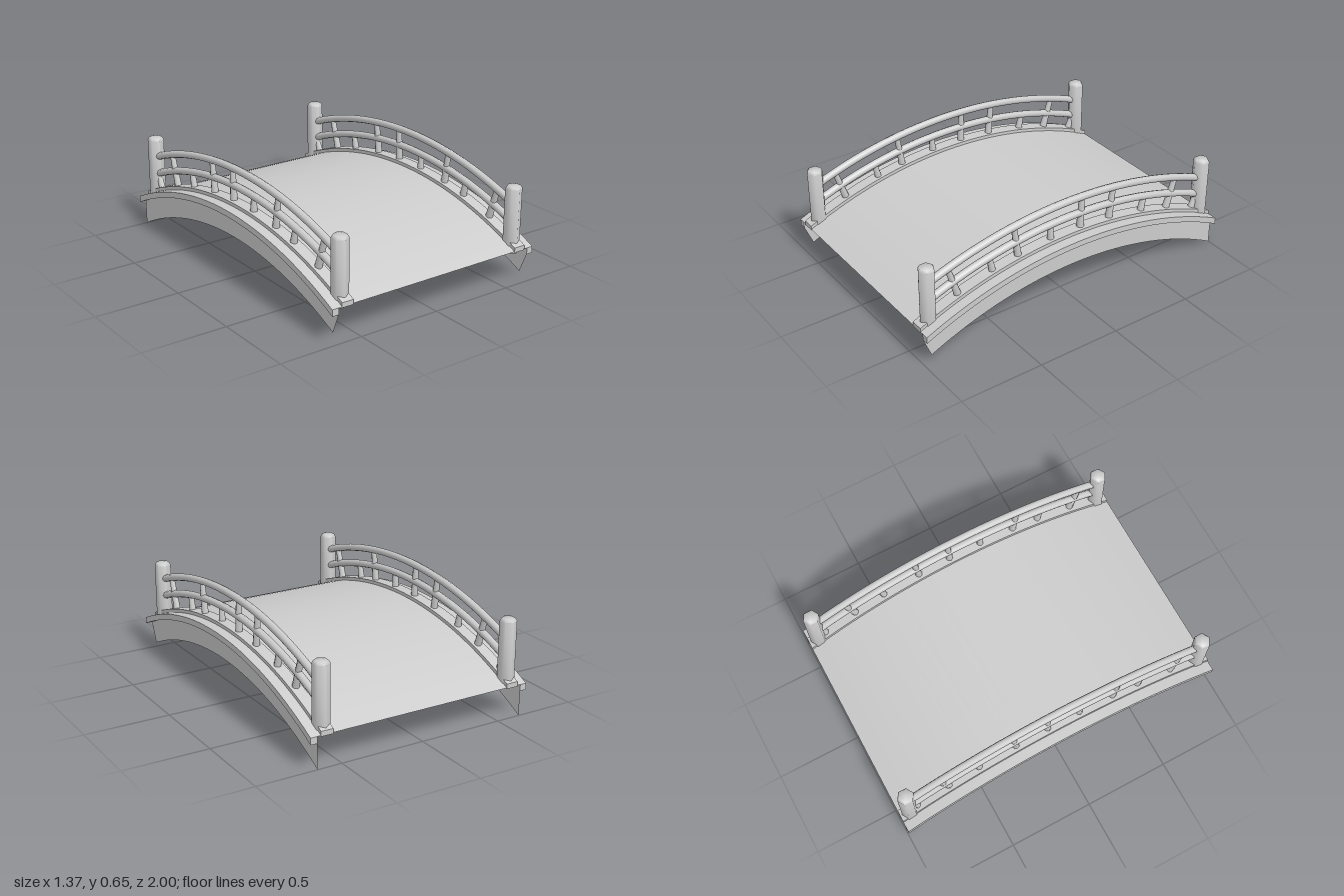
import * as THREE from 'three';
import { toCreasedNormals } from 'three/addons/utils/BufferGeometryUtils.js';

// All curves are concentric arcs around one centre in the z-y plane.
const CZ = 0.02, CY = -1.935, R = 2.35;
const SEGMENTS = 32;
const arcY = (r, z) => CY + Math.sqrt(r * r - (z - CZ) ** 2);
const radial = (r, a) => [CZ + r * Math.sin(a), CY + r * Math.cos(a)];

const material = new THREE.MeshStandardMaterial({ color: 0xcccccc });
const sheetMaterial = new THREE.MeshStandardMaterial({ color: 0xcccccc, side: THREE.DoubleSide });

function add(parent, name, geometry, mat = material) {
  const mesh = new THREE.Mesh(geometry, mat);
  mesh.name = name;
  parent.add(mesh);
  return mesh;
}

// Side outline between two arcs; lowerFront is where the lower arc stops at the front.
function bandShape(rLow, rHigh, lowerFront = 1) {
  const pts = [];
  for (let i = 0; i <= SEGMENTS; i++) {
    const z = 1 - (2 * i) / SEGMENTS;
    pts.push(new THREE.Vector2(z, arcY(rHigh, z)));
  }
  for (let i = 0; i <= SEGMENTS; i++) {
    const z = -1 + ((1 + lowerFront) * i) / SEGMENTS;
    pts.push(new THREE.Vector2(z, arcY(rLow, z)));
  }
  return new THREE.Shape(pts);
}

// Curved beam spanning x0..x1
function beam(rLow, rHigh, x0, x1) {
  const geo = new THREE.ExtrudeGeometry(bandShape(rLow, rHigh), { depth: x1 - x0, bevelEnabled: false });
  geo.rotateY(-Math.PI / 2).translate(x1, 0, 0);
  return toCreasedNormals(geo, 0.5);
}

// Thin arched walking surface
function deckSheet() {
  const geo = new THREE.PlaneGeometry(1.29, 2, 1, SEGMENTS).rotateX(-Math.PI / 2);
  const p = geo.attributes.position;
  for (let i = 0; i < p.count; i++) p.setY(i, arcY(R, p.getZ(i)));
  geo.computeVertexNormals();
  return geo;
}

// Curved handrail running from post to post
function rail(x, r) {
  const pts = [];
  for (let i = 0; i <= 16; i++) {
    const z = -0.935 + (1.865 * i) / 16;
    pts.push(new THREE.Vector3(x, arcY(r, z), z));
  }
  return new THREE.TubeGeometry(new THREE.CatmullRomCurve3(pts), 32, 0.022, 8);
}

// Hexagonal post with a small chamfer on top
function post() {
  const profile = [[0, 0.175], [0.048, 0.175], [0.048, 0.546], [0.038, 0.562], [0, 0.562]]
    .map(([r, y]) => new THREE.Vector2(r, y));
  return toCreasedNormals(new THREE.LatheGeometry(profile, 6), 1.1);
}

// Baluster standing square to the arc, from below the deck up to radius rTop
function baluster(x, zBase, rTop) {
  const a = Math.asin((zBase - CZ) / R);
  const low = R - 0.015;
  const geo = new THREE.CylinderGeometry(0.016, 0.022, rTop - low, 8);
  const [z, y] = radial((low + rTop) / 2, a);
  return geo.rotateX(a).translate(x, y, z);
}

export function createModel() {
  const group = new THREE.Group();
  add(group, 'deck', deckSheet(), sheetMaterial);

  // Base position of each baluster, and whether it reaches the top rail
  const balusters = [
    [0.74, true], [0.52, false], [0.355, true], [0.14, false], [-0.06, true],
    [-0.26, true], [-0.49, false], [-0.68, true], [-0.88, false],
  ];
  const upperR = R + 0.207, lowerR = R + 0.107;

  for (const [side, s] of [['left', 1], ['right', -1]]) {
    const half = new THREE.Group();
    half.name = side + 'Side';
    group.add(half);
    const x = 0.588 * s;

    // Outer rim and the thin fascia hanging from its inner edge
    const rimX = [0.645 * s, 0.685 * s].sort((a, b) => a - b);
    add(half, 'edgeRim', beam(R - 0.035, R, ...rimX));
    const fascia = new THREE.ShapeGeometry(bandShape(R - 0.165, R - 0.035, 0.95));
    add(half, 'fascia', fascia.rotateY(-Math.PI / 2).translate(0.645 * s, 0, 0), sheetMaterial);

    // Curb under the railing
    add(half, 'curb', beam(R - 0.006, R + 0.02, x - 0.036, x + 0.036));

    // Railing
    add(half, 'upperRail', rail(x, upperR));
    add(half, 'lowerRail', rail(x, lowerR));
    for (const [z, tall] of balusters) {
      add(half, 'baluster', baluster(x, z, tall ? upperR : lowerR));
    }
    for (const z of [0.93, -0.94]) add(half, 'post', post()).position.set(x, 0, z);
  }
  return group;
}
